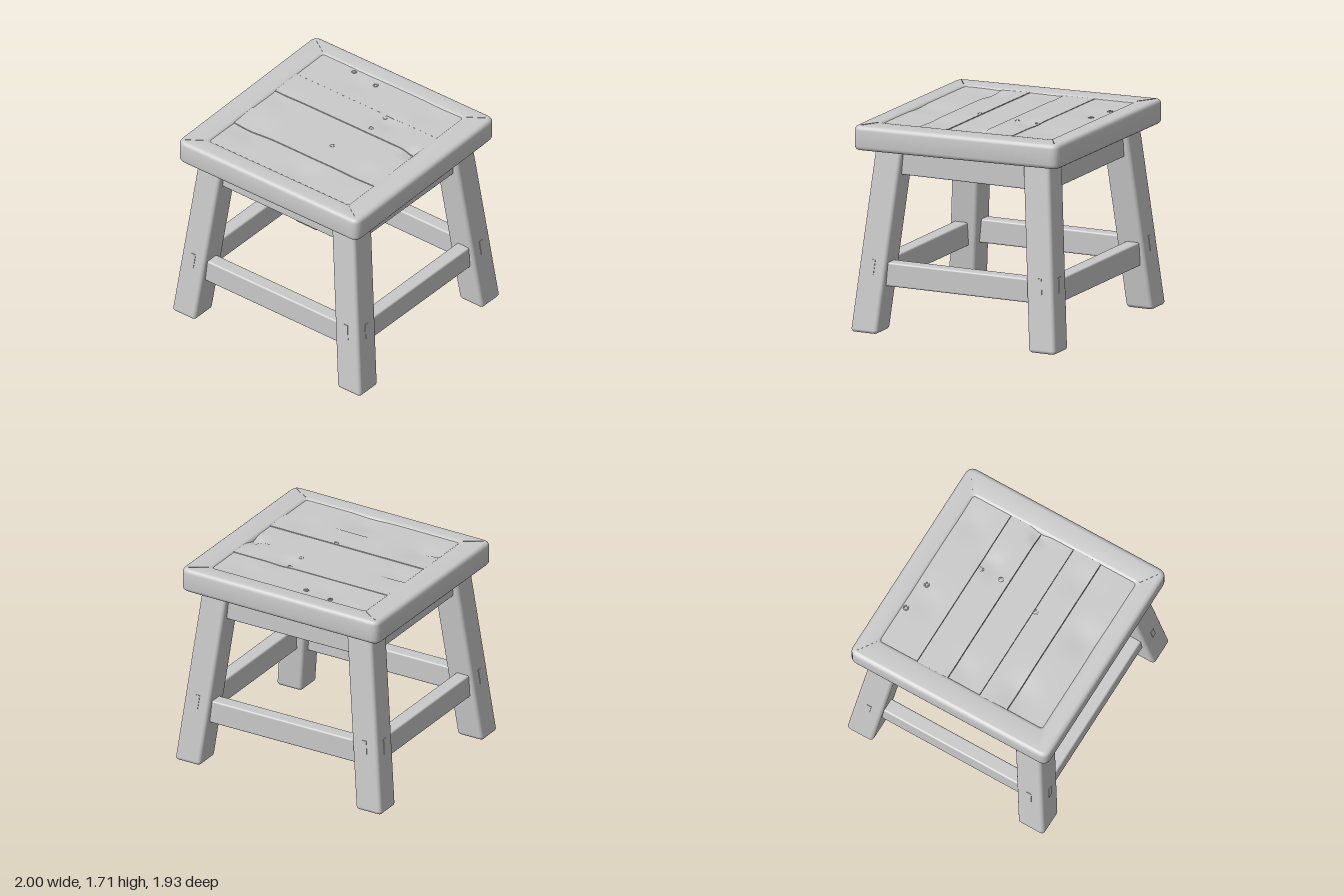
import * as THREE from 'three';
import { toCreasedNormals } from 'three/addons/utils/BufferGeometryUtils.js';
import { RoundedBoxGeometry } from 'three/addons/geometries/RoundedBoxGeometry.js';

const wood = new THREE.MeshStandardMaterial({ color: 0xcacaca });
wood.name = 'wood';

// The stool is turned and slightly out of square; the legs twist a little more than the seat
const outOfSquare = (xz) => new THREE.Matrix4().set(
  1, 0, xz, 0,
  0, 1, 0, 0,
  0.068, 0, 1, 0,
  0, 0, 0, 1);
const baseSkew = outOfSquare(-0.048);
// The seat also leans a little
const seatSkew = outOfSquare(-0.038).multiply(new THREE.Matrix4().set(
  1, 0, 0, 0,
  0.007, 1, -0.015, 0,
  0, 0, 1, 0,
  0, 0, 0, 1));

// Seat sizes (half extents) and leg splay
const RX = 0.922, RZ = 0.903, HX = 0.705, HZ = 0.732;
const SEAT_LOW = 1.485, SEAT_TOP = 1.685, BOARD_TOP = 1.675;
const LEG = 0.236, LEG_H = 1.52, SPLAY_X = 0.115, SPLAY_Z = 0.091;
const legX = (y) => 0.964 - LEG / 2 - SPLAY_X * y;
const legZ = (y) => 0.905 - LEG / 2 - SPLAY_Z * y;

function add(parent, name, geometry, skew) {
  const mesh = new THREE.Mesh(geometry.applyMatrix4(skew), wood);
  mesh.name = name;
  parent.add(mesh);
}

const beam = (w, h, d, r, x, y, z) =>
  new RoundedBoxGeometry(w, h, d, 3, r).translate(x, y, z);

function roundedRect(path, hx, hz, r) {
  path.moveTo(-hx + r, -hz);
  path.lineTo(hx - r, -hz).quadraticCurveTo(hx, -hz, hx, -hz + r);
  path.lineTo(hx, hz - r).quadraticCurveTo(hx, hz, hx - r, hz);
  path.lineTo(-hx + r, hz).quadraticCurveTo(-hx, hz, -hx, hz - r);
  path.lineTo(-hx, -hz + r).quadraticCurveTo(-hx, -hz, -hx + r, -hz);
  return path;
}

// Shallow worn hollows in the boards: x, z, radius, depth
const hollows = [
  [-0.55, 0.42, 0.14, 0.016], [0.1, 0.62, 0.13, 0.014], [0.28, -0.32, 0.09, 0.014],
  [0.68, -0.12, 0.06, 0.025], [-0.6, -0.05, 0.1, 0.008], [-0.25, -0.6, 0.12, 0.008],
  [0.5, -0.62, 0.12, 0.008], [0.5, 0.35, 0.12, 0.008],
];
const wear = (x, z) => hollows.reduce((sum, [hx, hz, r, depth]) =>
  sum + depth * Math.exp(-((x - hx) ** 2 + (z - hz) ** 2) / (r * r)), 0);

function buildBoard(z0, z1, rise) {
  const board = new THREE.BoxGeometry(2 * HX + 0.06, 0.1, z1 - z0 - 0.004, 40, 1, 10);
  board.translate(0, BOARD_TOP - 0.05 + rise, (z0 + z1) / 2);
  const p = board.attributes.position;
  for (let i = 0; i < p.count; i++) {
    if (p.getY(i) > 1.63) p.setY(i, p.getY(i) - wear(p.getX(i), p.getZ(i)));
  }
  board.computeVertexNormals();
  return board;
}

function buildSeat() {
  const seat = new THREE.Group();
  seat.name = 'seat';

  // Frame with softened edges around the boards
  const outline = roundedRect(new THREE.Shape(), RX, RZ, 0.075);
  outline.holes.push(roundedRect(new THREE.Path(), HX, HZ, 0.015));
  const bevel = 0.035;
  const frame = new THREE.ExtrudeGeometry(outline, {
    depth: SEAT_TOP - SEAT_LOW - 2 * bevel, bevelThickness: bevel, bevelSize: bevel,
    bevelOffset: -bevel, bevelSegments: 4, curveSegments: 6,
  });
  frame.rotateX(-Math.PI / 2).translate(0, SEAT_LOW + bevel, 0);
  add(seat, 'seatFrame', toCreasedNormals(frame, 0.6), seatSkew);

  // Smooth underside
  add(seat, 'seatUnderside', new THREE.BoxGeometry(2 * HX + 0.02, 0.05, 2 * HZ + 0.02).translate(0, 1.56, 0), seatSkew);

  // Boards of uneven width and height, running across the seat
  const edges = [-0.765, -0.4, -0.12, 0.17, 0.42, 0.765];
  const rise = [0, 0.003, -0.002, 0.003, -0.002];
  for (let i = 0; i < rise.length; i++) {
    add(seat, 'seatBoard', buildBoard(edges[i], edges[i + 1], rise[i]), seatSkew);
  }

  // Mitre joints at the four corners of the frame
  for (const sx of [-1, 1]) for (const sz of [-1, 1]) {
    const x0 = HX + 0.03, z0 = HZ + 0.03, x1 = RX - 0.05, z1 = RZ - 0.05;
    const seam = new THREE.BoxGeometry(Math.hypot(x1 - x0, z1 - z0), 0.006, 0.007);
    seam.rotateY(-sx * sz * Math.atan2(z1 - z0, x1 - x0));
    seam.translate(sx * (x0 + x1) / 2, SEAT_TOP, sz * (z0 + z1) / 2);
    add(seat, 'mitreJoint', seam, seatSkew);
  }

  // Small worm holes in the boards, as raised rims
  for (const [x, z] of [[-0.37, -0.71], [-0.12, -0.67], [0.21, -0.37], [0.21, -0.19], [0.11, 0.19]]) {
    const rim = new THREE.TorusGeometry(0.017, 0.006, 6, 12).rotateX(Math.PI / 2);
    add(seat, 'wormHole', rim.translate(x, BOARD_TOP - wear(x, z), z), seatSkew);
  }
  return seat;
}

function buildLeg(sx, sz) {
  const leg = new THREE.Group();
  leg.name = (sz > 0 ? 'front' : 'back') + (sx > 0 ? 'Left' : 'Right') + 'Leg';

  // Splayed square post, sheared so its foot stays flat
  const splay = baseSkew.clone().multiply(new THREE.Matrix4().set(
    1, -sx * SPLAY_X, 0, sx * legX(0),
    0, 1, 0, 0,
    0, -sz * SPLAY_Z, 1, sz * legZ(0),
    0, 0, 0, 1));
  add(leg, 'post', beam(LEG, LEG_H, LEG, 0.03, 0, LEG_H / 2, 0), splay);

  // Tenon ends showing on both outer faces
  const half = LEG / 2, y = 0.535, w = 0.04, h = 0.125, t = 0.009;
  add(leg, 'tenonEnd', new THREE.BoxGeometry(w, h, t).translate(0, y, sz * half), splay);
  add(leg, 'tenonEnd', new THREE.BoxGeometry(t, h, w).translate(sx * half, y, 0), splay);
  return leg;
}

export function createModel() {
  const stool = new THREE.Group();
  stool.name = 'stool';
  stool.add(buildSeat());

  for (const sx of [-1, 1]) for (const sz of [-1, 1]) stool.add(buildLeg(sx, sz));

  // Aprons under the seat and stretchers between the legs, on all four sides
  for (const s of [-1, 1]) {
    const end = s > 0 ? 'front' : 'back', side = s > 0 ? 'left' : 'right';
    add(stool, end + 'Apron', beam(1.4, 0.23, 0.1, 0.012, 0, 1.383, s * 0.678), baseSkew);
    add(stool, side + 'Apron', beam(0.1, 0.22, 1.35, 0.012, s * 0.71, 1.389, 0), baseSkew);
    add(stool, end + 'Stretcher', beam(2 * legX(0.46), 0.195, 0.12, 0.015, 0, 0.46, s * 0.758), baseSkew);
    add(stool, side + 'Stretcher', beam(0.12, 0.195, 2 * legZ(0.48), 0.015, s * 0.808, 0.479, 0), baseSkew);
  }
  return stool;
}
